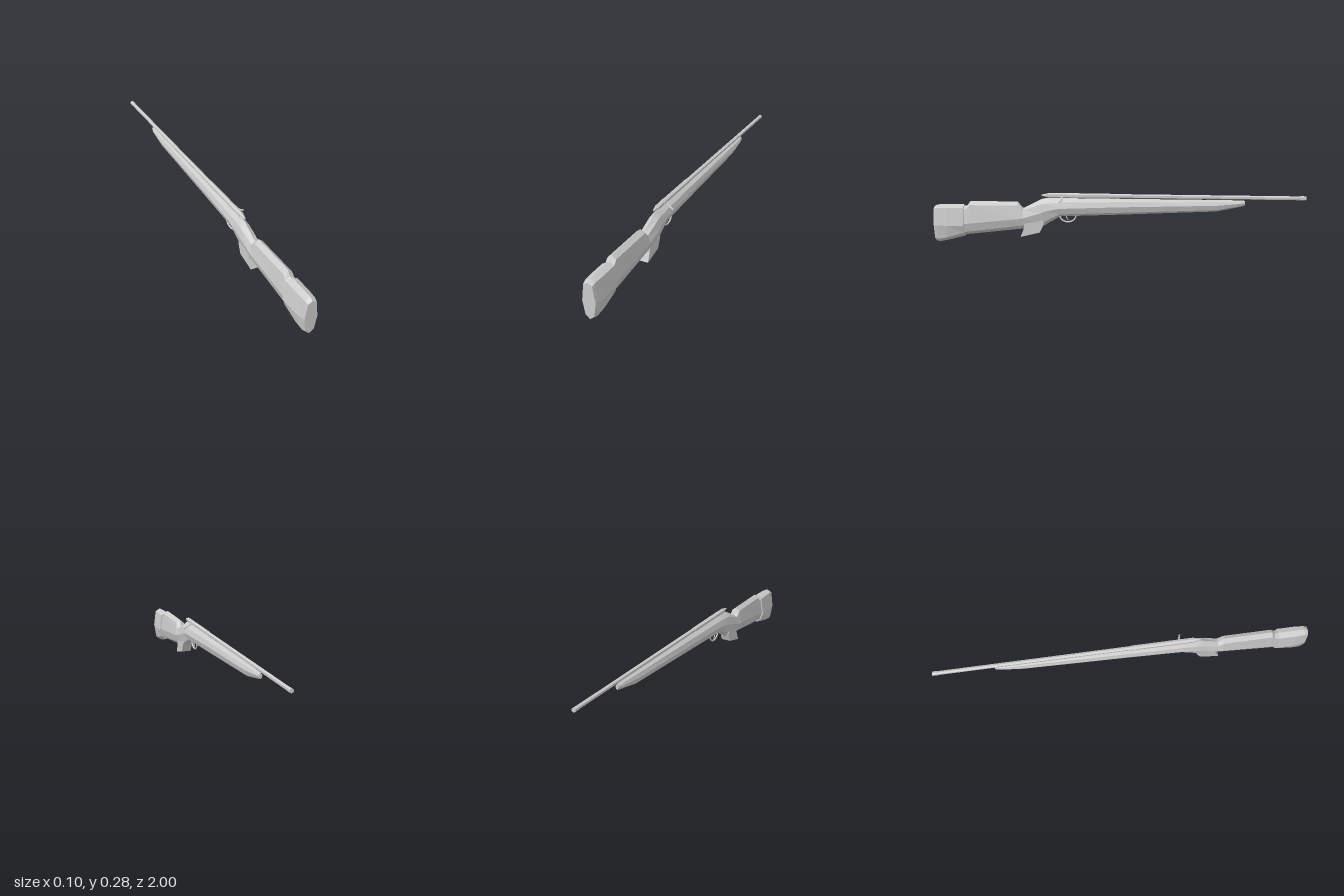
import * as THREE from 'three';

const material = new THREE.MeshStandardMaterial({ color: 0xcccccc, flatShading: true, side: THREE.DoubleSide });

// Closed loft through eight-sided sections running from +z to -z.
// Station: [z, topY, shoulderY, midY, lowY, bottomY, shoulderW, midW, lowW]
function loft(stations) {
  const rings = stations.map(([z, t, s, m, l, b, ws, wm, wl]) => [
    [0, t, z], [-ws, s, z], [-wm, m, z], [-wl, l, z],
    [0, b, z], [wl, l, z], [wm, m, z], [ws, s, z],
  ]);
  const pos = [];
  const tri = (...pts) => pts.forEach((p) => pos.push(...p));
  for (let i = 0; i < rings.length - 1; i++) {
    for (let j = 0; j < 8; j++) {
      const k = (j + 1) % 8;
      const [a, b, c, d] = [rings[i][j], rings[i][k], rings[i + 1][j], rings[i + 1][k]];
      tri(a, c, b);
      tri(b, c, d);
    }
  }
  const first = rings[0], last = rings[rings.length - 1];
  for (let j = 1; j < 7; j++) {
    tri(first[0], first[j], first[j + 1]);
    tri(last[0], last[j + 1], last[j]);
  }
  const geo = new THREE.BufferGeometry();
  geo.setAttribute('position', new THREE.Float32BufferAttribute(pos, 3));
  geo.computeVertexNormals();
  return geo;
}

// Six-sided rod along z
function rod(zBack, zFront, rBack, rFront) {
  const geo = new THREE.CylinderGeometry(rBack, rFront, zBack - zFront, 6);
  geo.rotateX(Math.PI / 2);
  geo.translate(0, 0.267, (zBack + zFront) / 2);
  return geo;
}

// Thin tube through [x, y, z] points
function tube(points, radius, segments, sides) {
  const pts = points.map((p) => new THREE.Vector3(...p));
  return new THREE.TubeGeometry(new THREE.CatmullRomCurve3(pts), segments, radius, sides, false);
}

export function createModel() {
  const model = new THREE.Group();
  const add = (name, geo) => {
    const mesh = new THREE.Mesh(geo, material);
    mesh.name = name;
    model.add(mesh);
    return mesh;
  };

  // Butt pad
  add('buttPad', loft([
    [1.0, 0.2, 0.188, 0.1, 0.028, 0.008, 0.023, 0.035, 0.023],
    [0.98, 0.21, 0.196, 0.1, 0.022, 0.002, 0.026, 0.038, 0.026],
    [0.93, 0.212, 0.197, 0.1, 0.032, 0.012, 0.029, 0.044, 0.03],
    [0.835, 0.212, 0.197, 0.1, 0.06, 0.037, 0.029, 0.044, 0.03],
  ]));

  // Stock: comb, wrist, receiver bed and tapering fore-end
  add('stock', loft([
    [0.837, 0.203, 0.188, 0.11, 0.062, 0.044, 0.023, 0.037, 0.024],
    [0.818, 0.207, 0.192, 0.11, 0.064, 0.046, 0.024, 0.037, 0.024],
    [0.8, 0.231, 0.212, 0.113, 0.066, 0.048, 0.023, 0.037, 0.024],
    [0.54, 0.231, 0.212, 0.14, 0.1, 0.078, 0.023, 0.036, 0.024],
    [0.51, 0.196, 0.185, 0.145, 0.103, 0.081, 0.023, 0.036, 0.024],
    [0.41, 0.247, 0.222, 0.175, 0.118, 0.092, 0.025, 0.036, 0.024],
    [0.385, 0.252, 0.226, 0.185, 0.13, 0.108, 0.025, 0.035, 0.023],
    [0.31, 0.253, 0.232, 0.2, 0.167, 0.152, 0.024, 0.034, 0.022],
    [0.0, 0.253, 0.238, 0.211, 0.179, 0.165, 0.02, 0.028, 0.018],
    [-0.53, 0.253, 0.245, 0.225, 0.2, 0.19, 0.013, 0.021, 0.013],
    [-0.65, 0.252, 0.246, 0.235, 0.222, 0.215, 0.01, 0.015, 0.01],
    [-0.68, 0.25, 0.246, 0.238, 0.229, 0.223, 0.006, 0.008, 0.006],
  ]));

  // Angular grip beneath the wrist
  const side = new THREE.Shape();
  [[-0.525, 0.04], [-0.42, 0.066], [-0.395, 0.122], [-0.43, 0.16], [-0.5, 0.13], [-0.505, 0.09]]
    .forEach(([u, v], i) => (i ? side.lineTo(u, v) : side.moveTo(u, v)));
  const gripGeo = new THREE.ExtrudeGeometry(side, { depth: 0.054, bevelEnabled: false });
  gripGeo.translate(0, 0, -0.027);
  gripGeo.rotateY(Math.PI / 2);
  add('grip', gripGeo);

  // Barrel, receiver and bolt
  add('barrel', rod(0.05, -1, 0.0115, 0.0105));
  add('muzzle', rod(-0.97, -1, 0.0115, 0.0115));
  add('receiver', rod(0.375, 0.04, 0.0135, 0.0135));
  add('boltShroud', rod(0.41, 0.37, 0.004, 0.0125));
  add('boltCollar', rod(0.315, 0.295, 0.0145, 0.0145));
  add('boltHandle', tube([
    [0.008, 0.266, 0.295], [0.02, 0.255, 0.297], [0.033, 0.245, 0.3], [0.051, 0.238, 0.306],
  ], 0.0045, 6, 6));

  // Trigger guard and trigger
  add('triggerGuard', tube([
    [0, 0.165, 0.312], [0, 0.142, 0.308], [0, 0.126, 0.288], [0, 0.122, 0.265],
    [0, 0.13, 0.24], [0, 0.148, 0.226], [0, 0.168, 0.224],
  ], 0.0045, 14, 6));
  add('trigger', tube([
    [0, 0.165, 0.275], [0, 0.148, 0.276], [0, 0.134, 0.266],
  ], 0.003, 5, 5));

  // Offset balancing the bolt handle on one side
  model.children.forEach((part) => { part.position.x = -0.0045; });
  return model;
}
